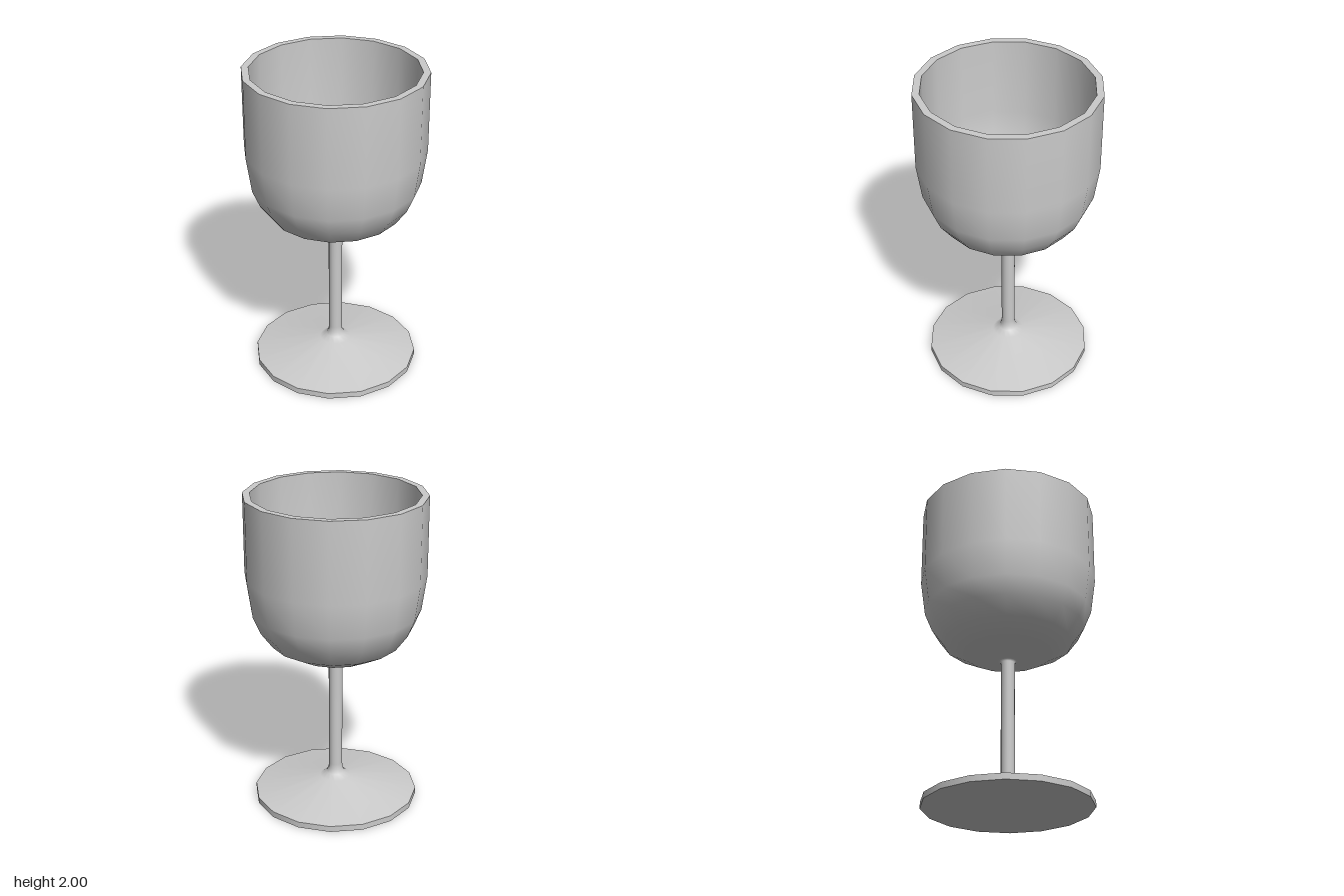
import * as THREE from 'three';

const SIDES = 16;

export function createModel() {
  const goblet = new THREE.Group();
  goblet.name = 'goblet';
  const material = new THREE.MeshStandardMaterial({ color: 0xcccccc });

  // Each profile is [radius, height]; separate lathes keep the edges between them sharp.
  const turn = (name, profile) => {
    const points = profile.map(([r, y]) => new THREE.Vector2(r, y));
    const mesh = new THREE.Mesh(new THREE.LatheGeometry(points, SIDES), material);
    mesh.name = name;
    goblet.add(mesh);
  };

  // Foot
  turn('footUnderside', [[0, 0], [0.52, 0]]);
  turn('footEdge', [[0.52, 0], [0.52, 0.038]]);

  // Foot top, stem and outside of the bowl flow into one another
  turn('footStemAndBowl', [
    [0.52, 0.038], [0.1, 0.122], [0.06, 0.147], [0.045, 0.175],
    [0.043, 0.21], [0.043, 0.935], [0.055, 0.945], [0.1, 0.96],
    [0.27, 0.995], [0.405, 1.068], [0.48, 1.17], [0.526, 1.28],
    [0.557, 1.5], [0.557, 2],
  ]);

  // Rim and hollow inside of the bowl
  turn('rim', [[0.557, 2], [0.513, 2]]);
  turn('bowlInside', [
    [0.513, 2], [0.513, 1.5], [0.484, 1.29], [0.442, 1.19],
    [0.378, 1.102], [0.255, 1.036], [0.1, 1.005], [0, 1],
  ]);

  return goblet;
}
